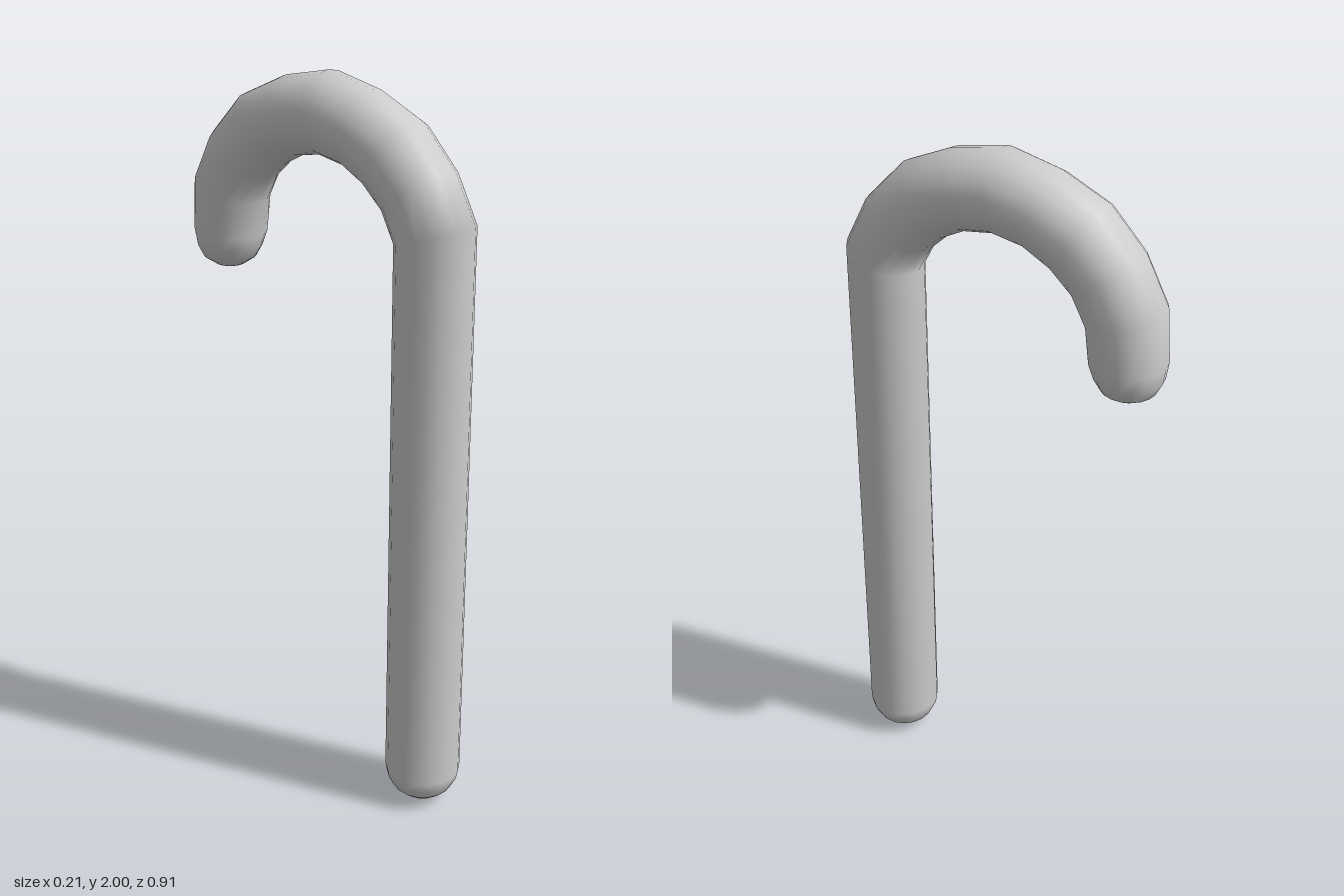
import * as THREE from 'three';

const SIDES = 18;

// Loft round rings, each given by its outer and inner point [z, y] in the plane x = 0.
function loft(rings) {
  const pos = [], index = [];
  for (const [oz, oy, iz, iy] of rings) {
    const cz = (oz + iz) / 2, cy = (oy + iy) / 2;
    const hz = (oz - iz) / 2, hy = (oy - iy) / 2;
    const r = Math.hypot(hz, hy);
    for (let j = 0; j < SIDES; j++) {
      const a = (j / SIDES) * Math.PI * 2;
      pos.push(r * Math.sin(a), cy + hy * Math.cos(a), cz + hz * Math.cos(a));
    }
  }
  for (let i = 0; i < rings.length - 1; i++) {
    for (let j = 0; j < SIDES; j++) {
      const k = (j + 1) % SIDES;
      const a = i * SIDES + j, b = i * SIDES + k;
      index.push(a, b, b + SIDES, a, b + SIDES, a + SIDES);
    }
  }
  // Close both ends with a fan
  const addCap = (ring, flip) => {
    const [oz, oy, iz, iy] = rings[ring];
    const c = pos.length / 3;
    pos.push(0, (oy + iy) / 2, (oz + iz) / 2);
    for (let j = 0; j < SIDES; j++) {
      const a = ring * SIDES + j, b = ring * SIDES + (j + 1) % SIDES;
      if (flip) index.push(c, b, a);
      else index.push(c, a, b);
    }
  };
  addCap(0, true);
  addCap(rings.length - 1, false);
  const geo = new THREE.BufferGeometry();
  geo.setAttribute('position', new THREE.Float32BufferAttribute(pos, 3));
  geo.setIndex(index);
  geo.computeVertexNormals();
  return geo;
}

export function createModel() {
  const group = new THREE.Group();
  group.name = 'cane';

  // Rounded foot, as level rings of radius r at height y
  const foot = [[0.02, 0], [0.055, 0.015], [0.085, 0.042], [0.1, 0.072], [0.105, 0.1]]
    .map(([r, y]) => [0.355 + r, y, 0.355 - r, y]);

  // One half of the bend, mirrored over the crown
  const bend = [
    [0.441, 1.68, 0.243, 1.62],
    [0.376, 1.805, 0.206, 1.69],
    [0.275, 1.91, 0.152, 1.74],
    [0.143, 1.97, 0.085, 1.775],
  ];
  const crown = [0, 2, 0, 1.79];
  const bendBack = bend.map(([oz, oy, iz, iy]) => [-oz, oy, -iz, iy]).reverse();

  // Short blunt tip of the hook
  const tip = [
    [-0.453, 1.535, -0.254, 1.526],
    [-0.447, 1.49, -0.268, 1.487],
    [-0.43, 1.455, -0.286, 1.455],
    [-0.397, 1.434, -0.317, 1.434],
  ];

  const cane = new THREE.Mesh(
    loft([...foot, ...bend, crown, ...bendBack, ...tip]),
    new THREE.MeshStandardMaterial({ color: 0xcccccc }),
  );
  cane.name = 'hookedShaft';
  group.add(cane);
  return group;
}
